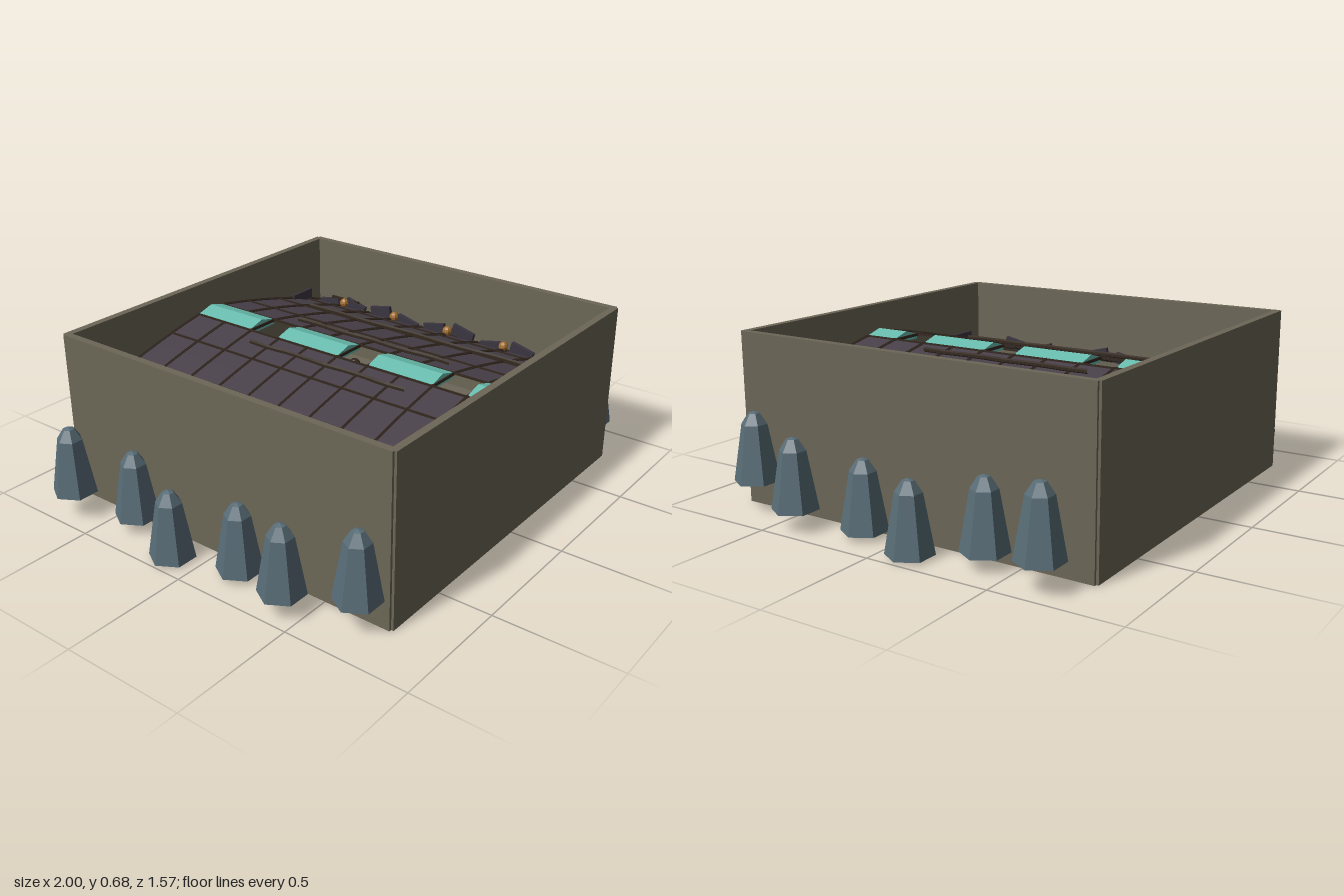
import * as THREE from 'three';

const mat = (name, color, side = THREE.FrontSide) => {
  const m = new THREE.MeshStandardMaterial({ color, flatShading: true, side });
  m.name = name;
  return m;
};

// Height of the vaulted roof across the hall
const roofY = (x) => 0.56 - 0.16 * Math.abs(x) - 0.12 * x * x;

export function createModel() {
  const stone = mat('olive stone', 0x6b6656);
  const slate = mat('purple slate', 0x484049, THREE.DoubleSide);
  const iron = mat('dark brown iron', 0x33281f);
  const glass = mat('aqua glass', 0x68bcae);
  const crystalMat = mat('blue grey crystal', 0x586c76);
  const brass = mat('brass', 0xa06c2c);
  const dark = mat('dark furniture', 0x3a3540);
  const stain = mat('brown rubble', 0x4a3b2c);

  const model = new THREE.Group();
  model.name = 'vaultedHall';

  const add = (name, geo, material, x = 0, y = 0, z = 0, parent = model) => {
    const m = new THREE.Mesh(geo, material);
    m.name = name;
    m.position.set(x, y, z);
    parent.add(m);
    return m;
  };
  const box = (name, w, h, d, material, x, y, z) =>
    add(name, new THREE.BoxGeometry(w, h, d), material, x, y, z);
  const tube = (name, pts, r, sides = 5, material = iron) =>
    add(name, new THREE.TubeGeometry(new THREE.CatmullRomCurve3(pts), pts.length * 2, r, sides), material);
  const V = (x, y, z) => new THREE.Vector3(x, y, z);

  // Outer walls, notched at the corners, with base trim inside
  for (const s of [-1, 1]) {
    box('endWall', 1.55, 0.68, 0.03, stone, 0, 0.34, s * 0.77);
    box('sideWall', 0.03, 0.68, 1.55, stone, s * 0.77, 0.34, 0);
    box('endTrim', 1.5, 0.035, 0.016, dark, 0, 0.035, s * 0.748);
    box('sideTrim', 0.016, 0.035, 1.5, dark, s * 0.748, 0.035, 0);
  }

  // Floor slab
  box('floor', 1.52, 0.03, 1.52, stone, 0, 0.115, 0);

  // Roof slopes either side of the skylight slot
  for (const s of [-1, 1]) {
    const geo = new THREE.PlaneGeometry(0.68, 1.51, 8, 10).rotateX(-Math.PI / 2);
    const p = geo.attributes.position;
    for (let i = 0; i < p.count; i++) {
      const x = p.getX(i) + s * 0.415;
      p.setXYZ(i, x, roofY(x), p.getZ(i));
    }
    geo.computeVertexNormals();
    add('roofSlope', geo, slate);
  }

  // Ridged skylight panes with broken gaps between them
  for (const [z0, z1] of [[-0.755, -0.46], [-0.31, 0], [0.15, 0.45], [0.605, 0.755]]) {
    const shape = new THREE.Shape();
    shape.moveTo(-0.075, 0.53);
    shape.lineTo(0.075, 0.53);
    shape.lineTo(0.075, 0.552);
    shape.lineTo(0, 0.573);
    shape.lineTo(-0.075, 0.552);
    shape.closePath();
    add('skylightPane', new THREE.ExtrudeGeometry(shape, { depth: z1 - z0, bevelEnabled: false }),
      glass, 0, 0, z0);
  }

  // Cross ribs and lengthwise seams
  for (let i = 0; i <= 10; i++) {
    const z = -0.755 + i * 0.151;
    for (const s of [-1, 1]) {
      const pts = [];
      for (let x = 0.075; x < 0.76; x += 0.0844) pts.push(V(s * x, roofY(x) + 0.003, z));
      tube('crossRib', pts, 0.0065, 4);
    }
  }
  for (const z of [-0.46, -0.31, 0, 0.15, 0.45, 0.605]) {
    box('gapSill', 0.15, 0.012, 0.01, iron, 0, 0.548, z);
  }
  for (const s of [-1, 1]) {
    for (const x of [0.075, 0.24, 0.45, 0.65, 0.745]) {
      box('roofSeam', 0.007, 0.008, 1.51, iron, s * x, roofY(x) + 0.002, 0);
    }
    // Heavy cables lying along the roof
    for (const [x, half] of [[0.155, 0.385], [0.455, 0.57]]) {
      const pts = [];
      for (let i = 0; i <= 8; i++) {
        pts.push(V(s * (x + 0.004 * Math.sin(i * 2)), roofY(x) + 0.012, (i / 4 - 1) * half));
      }
      tube('roofCable', pts, 0.01, 6);
    }
    // Jagged slates along the eaves
    for (let i = 0; i < 10; i++) {
      const chip = box('eaveSlate', 0.018, 0.05, 0.11, dark, s * 0.746, 0.375 + 0.012 * (i % 3), -0.68 + i * 0.151);
      chip.rotation.x = i % 2 ? 0.25 : -0.2;
    }
    for (const z of [-0.59, 0.59]) box('eaveBar', 0.012, 0.05, 0.16, iron, s * 0.745, 0.39, z);
    for (const z of [-0.748, 0.748]) box('endSlate', 0.13, 0.05, 0.012, dark, s * 0.61, 0.43, z);
  }

  // Brass lamps on the eaves and along the base trim
  const lampGeo = new THREE.SphereGeometry(0.022, 8, 6);
  for (let i = -2; i <= 2; i++) {
    const t = i * 0.293;
    for (const s of [-1, 1]) {
      add('eaveLamp', lampGeo, brass, s * 0.73, 0.4, t);
      add('sideLamp', lampGeo, brass, s * 0.733, 0.08, t);
      add('endLamp', lampGeo, brass, t, 0.08, s * 0.733);
    }
  }

  // Hanging knob under the skylight
  add('hangingKnob', new THREE.SphereGeometry(0.025, 8, 6), iron, 0, 0.5, 0.03);

  // Plinth and row of drums set through the floor
  box('plinth', 0.6, 0.12, 0.14, dark, 0.03, 0.12, -0.29);
  for (const x of [-0.49, -0.163, 0.163, 0.49]) {
    add('drum', new THREE.CylinderGeometry(0.062, 0.062, 0.2, 12), dark, x, 0.15, -0.58);
  }

  // Rubble and pegs poking through the floor
  const lump = new THREE.IcosahedronGeometry(1, 1);
  for (const [x, z, rx, rz] of [[0.495, -0.05, 0.06, 0.05], [-0.36, -0.08, 0.13, 0.05],
    [-0.3, 0.39, 0.07, 0.04], [0.43, -0.32, 0.035, 0.05], [-0.05, -0.34, 0.04, 0.03]]) {
    const m = add('rubble', lump, stain, x, 0.115, z);
    m.scale.set(rx, 0.025, rz);
  }
  for (const [x, z] of [[0.27, 0.225], [0.16, 0.08], [-0.04, 0.06], [-0.22, 0.08]]) {
    add('peg', new THREE.CylinderGeometry(0.028, 0.028, 0.04, 8), stain, x, 0.115, z);
  }

  // Six-sided crystals hovering beside both side walls
  const profile = [[0, 0], [0.09, 0], [0.05, 0.225], [0.022, 0.268], [0, 0.275]]
    .map(([r, y]) => new THREE.Vector2(r, y));
  const crystalGeo = new THREE.LatheGeometry(profile, 6).rotateY(Math.PI / 2);
  for (const [x, y, z] of [[0.91, 0.1, -0.645], [0.835, 0.05, -0.38], [0.91, 0.01, -0.118],
    [0.835, 0.02, 0.148], [0.91, 0.073, 0.413], [0.835, 0.116, 0.68]]) {
    for (const s of [-1, 1]) add('crystal', crystalGeo, crystalMat, s * x, y, z);
  }

  return model;
}
